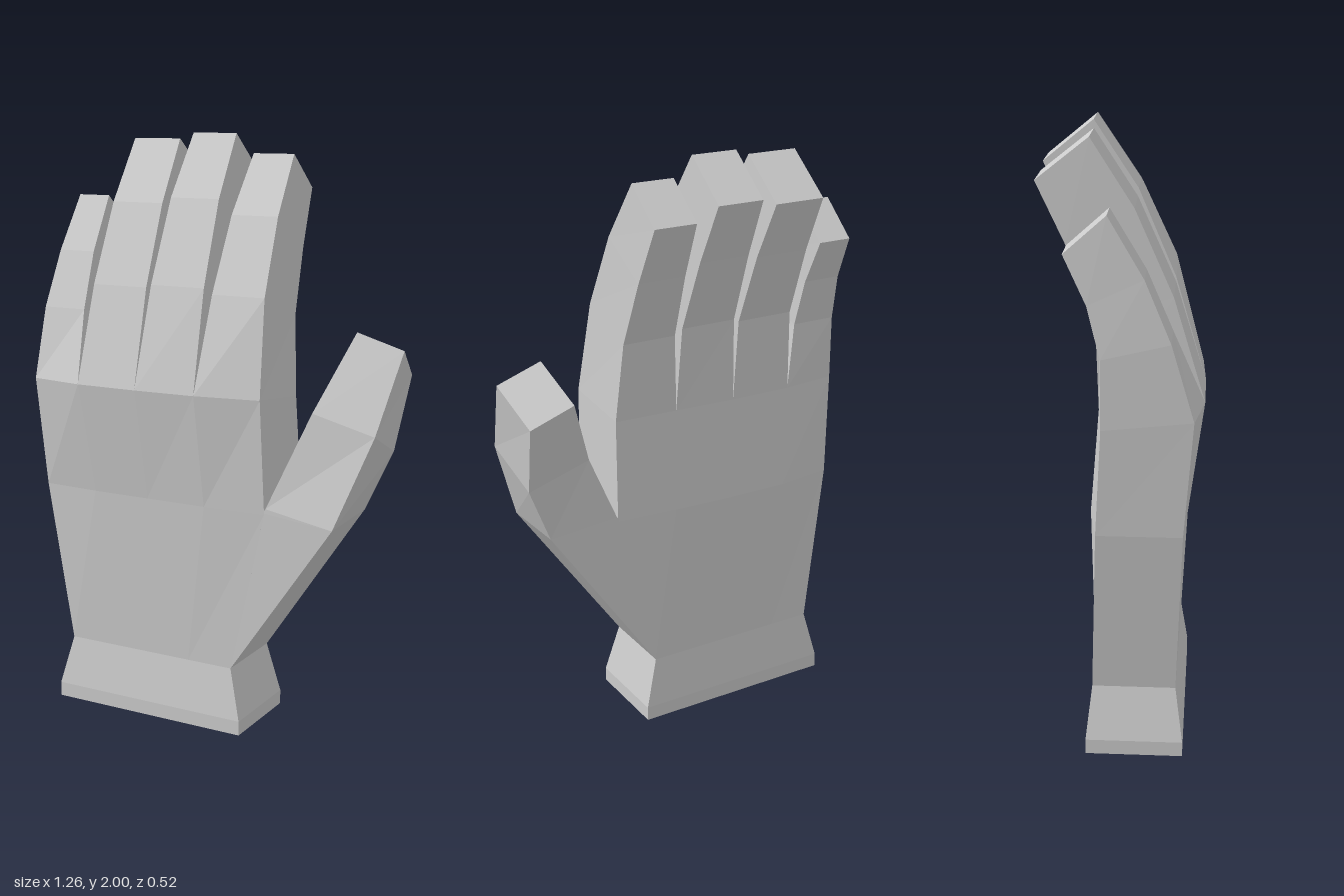
import * as THREE from 'three';

const material = new THREE.MeshStandardMaterial({ color: 0xcccccc, flatShading: true });

// Skin rings of points (counterclockwise seen from the tip) into a closed faceted solid
function loft(name, rings) {
  const n = rings[0].length;
  const index = [];
  for (let r = 0; r < rings.length - 1; r++) {
    for (let i = 0; i < n; i++) {
      const j = (i + 1) % n;
      const a = r * n + i, b = r * n + j, c = a + n, d = b + n;
      index.push(a, b, d, a, d, c);
    }
  }
  const top = (rings.length - 1) * n;
  for (let i = 1; i < n - 1; i++) {
    index.push(0, i + 1, i);
    index.push(top, top + i, top + i + 1);
  }
  const indexed = new THREE.BufferGeometry();
  indexed.setAttribute('position', new THREE.Float32BufferAttribute(rings.flat(2), 3));
  indexed.setIndex(index);
  const geometry = indexed.toNonIndexed();
  geometry.computeVertexNormals();
  const mesh = new THREE.Mesh(geometry, material);
  mesh.name = name;
  return mesh;
}

// Palm ring: columns of x, each with a front and a back depth
function palmRing(xs, yFront, yBack, zFront, zBack) {
  const front = xs.map((x, i) => [x, yFront, zFront[i]]);
  const back = xs.map((x, i) => [x, yBack, zBack[i]]).reverse();
  return [...front, ...back];
}

// Evenly divided straight palm row
function row(x0, x1, y, zf, zb) {
  const xs = [0, 0.23, 0.49, 0.74, 1].map((t) => x0 + (x1 - x0) * t);
  return palmRing(xs, y, y, xs.map(() => zf), xs.map(() => zb));
}

// Finger section: [x0, x1, front y, back y, front z left, front z right, back z left, back z right]
function fingerRing([x0, x1, yf, yb, zf0, zf1, zb0, zb1]) {
  return [[x0, yf, zf0], [x1, yf, zf1], [x1, yb, zb1], [x0, yb, zb0]];
}

export function createModel() {
  const hand = new THREE.Group();
  hand.name = 'hand';

  // Knuckle line shared by the palm and the fingers
  const kx = [-0.635, -0.44, -0.215, 0.005, 0.23];
  const kf = [0.23, 0.26, 0.26, 0.25, 0.215];
  const kb = [-0.05, -0.07, -0.07, -0.06, -0.05];
  const yF = 1.17, yB = 1.14;

  // Palm with flared wrist cuff
  hand.add(loft('palm', [
    row(-0.58, 0.15, 0, 0.205, -0.11),
    row(-0.58, 0.15, 0.05, 0.205, -0.11),
    row(-0.535, 0.105, 0.225, 0.18, -0.09),
    palmRing([-0.615, -0.41, -0.2, 0.02, 0.24], 0.79, 0.79,
      [0.2, 0.21, 0.21, 0.21, 0.2], [-0.07, -0.1, -0.1, -0.09, -0.075]),
    palmRing(kx, yF, yB, kf, kb),
  ]));

  // Fingers: joint sections as [x0, x1, front y, back y, front z, back z]
  const fingers = {
    littleFinger: [
      [-0.635, -0.475, 1.41, 1.36, 0.16, -0.05],
      [-0.622, -0.485, 1.6, 1.52, 0.08, -0.09],
      [-0.61, -0.49, 1.785, 1.67, -0.03, -0.16]],
    ringFinger: [
      [-0.432, -0.225, 1.5, 1.42, 0.16, -0.08],
      [-0.426, -0.232, 1.77, 1.66, 0.04, -0.17],
      [-0.42, -0.24, 1.98, 1.85, -0.095, -0.26]],
    middleFinger: [
      [-0.206, -0.005, 1.51, 1.43, 0.16, -0.08],
      [-0.198, -0.015, 1.79, 1.67, 0.04, -0.17],
      [-0.19, -0.025, 2, 1.87, -0.1, -0.26]],
    indexFinger: [
      [0.02, 0.212, 1.49, 1.41, 0.15, -0.075],
      [0.03, 0.2, 1.74, 1.63, 0.035, -0.155],
      [0.04, 0.19, 1.935, 1.82, -0.1, -0.24]],
  };
  Object.entries(fingers).forEach(([name, joints], i) => {
    const base = [kx[i], kx[i + 1], yF, yB, kf[i], kf[i + 1], kb[i], kb[i + 1]];
    const sections = joints.map(([x0, x1, yf, yb, zf, zb]) => [x0, x1, yf, yb, zf, zf, zb, zb]);
    hand.add(loft(name, [base, ...sections].map(fingerRing)));
  });

  // Thumb: inner front, outer front, outer back, inner back
  hand.add(loft('thumb', [
    [[0.235, 0.795, 0.2], [0.105, 0.225, 0.18], [0.105, 0.225, -0.09], [0.235, 0.795, -0.075]],
    [[0.245, 0.81, 0.2], [0.485, 0.77, 0.205], [0.485, 0.78, -0.06], [0.245, 0.81, -0.075]],
    [[0.38, 1.13, 0.14], [0.59, 1.07, 0.12], [0.57, 0.98, -0.09], [0.345, 1.04, -0.075]],
    [[0.47, 1.38, 0], [0.63, 1.33, -0.01], [0.595, 1.225, -0.17], [0.435, 1.275, -0.16]],
  ]));

  return hand;
}
